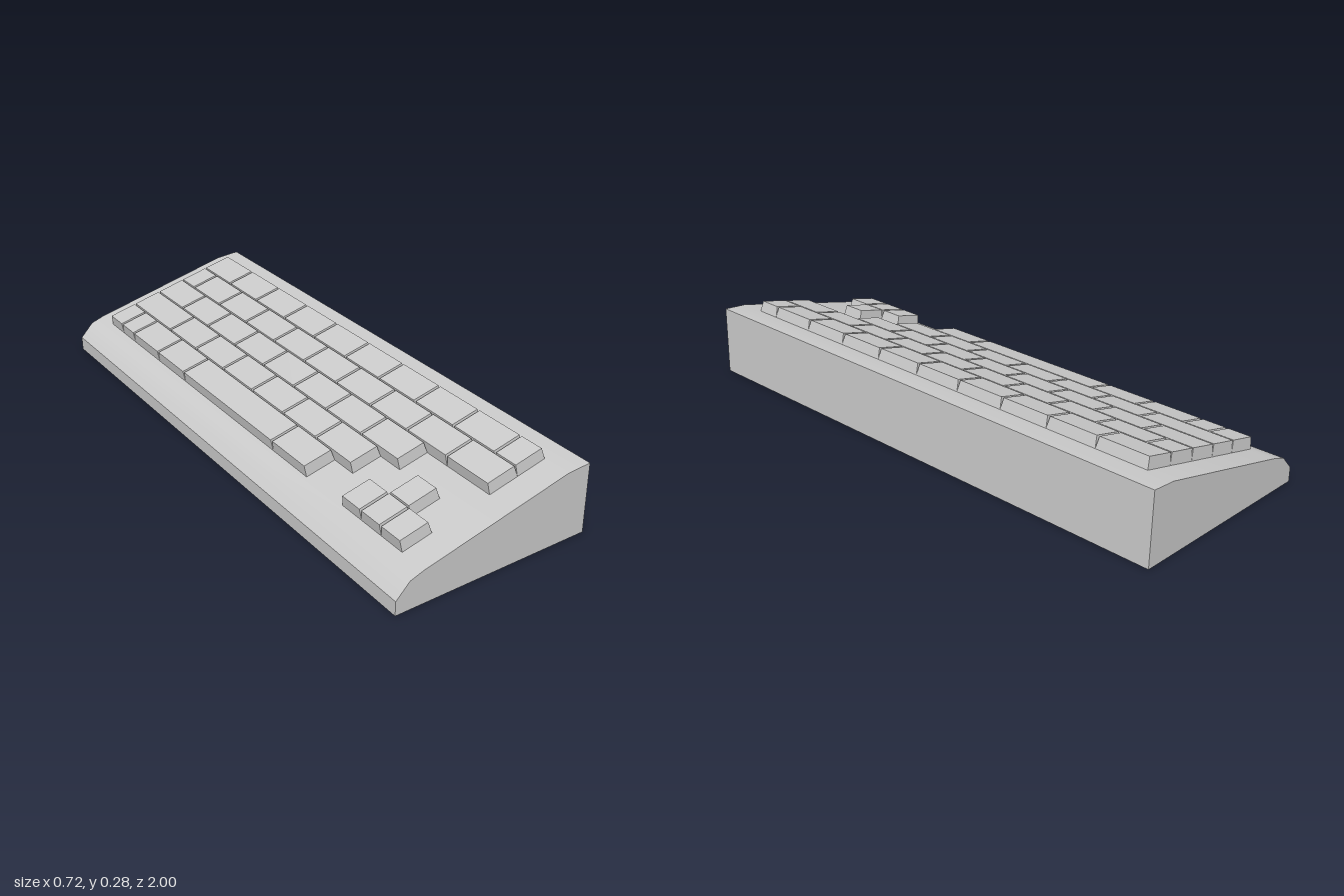
import * as THREE from 'three';
import { toCreasedNormals } from 'three/addons/utils/BufferGeometryUtils.js';

const UNIT = 0.0953;    // half-width key module along z
const Z0 = -0.91;       // start of the key field
const PITCH = 0.1094;   // row spacing along the slope
const HEIGHT = 0.0395;

// Key boundaries per row, in half-width modules, from front row to back row
const range = (a, b) => Array.from({ length: (b - a) / 2 + 1 }, (_, i) => a + 2 * i);
const rows = [
  [0, 1, 2, 4, 6, 12, 14],
  [0, ...range(3, 15)],
  range(0, 16),
  [0, ...range(1, 19)],
  [...range(0, 18), 19],
];
// Direction keys: [row, start module]
const directionKeys = [[0, 16], [0, 17], [0, 18], [1, 17]];

// Box whose top face is drawn in slightly
function keyGeometry(length) {
  const geo = new THREE.BoxGeometry(PITCH, HEIGHT, length);
  geo.translate(0, HEIGHT / 2, 0);
  const p = geo.attributes.position;
  for (let i = 0; i < p.count; i++) {
    if (p.getY(i) < HEIGHT / 2) continue;
    p.setX(i, p.getX(i) - Math.sign(p.getX(i)) * 0.003);
    p.setZ(i, p.getZ(i) - Math.sign(p.getZ(i)) * 0.005);
  }
  geo.computeVertexNormals();
  return geo;
}

export function createModel() {
  const model = new THREE.Group();
  model.name = 'keyboard';
  const material = new THREE.MeshStandardMaterial({ color: 0xcccccc });

  // Wedge-shaped case with a rounded front lip
  const profile = new THREE.Shape([
    [-0.361, 0], [0.361, 0], [0.355, 0.249], [0.268, 0.243],
    [-0.264, 0.117], [-0.313, 0.1], [-0.361, 0.05],
  ].map(([x, y]) => new THREE.Vector2(x, y)));
  const caseGeo = new THREE.ExtrudeGeometry(profile, { depth: 2, bevelEnabled: false });
  caseGeo.translate(0, 0, -1);
  const body = new THREE.Mesh(toCreasedNormals(caseGeo, 0.6), material);
  body.name = 'case';
  model.add(body);

  // Keys lie in a group tilted to the slope of the case
  const keys = new THREE.Group();
  keys.name = 'keys';
  keys.position.set(-0.264, 0.117, 0);
  keys.rotation.z = Math.atan2(0.126, 0.532);
  model.add(keys);

  const addKey = (parent, name, row, start, end) => {
    const key = new THREE.Mesh(keyGeometry((end - start) * UNIT), material);
    key.name = name;
    key.position.set((row + 0.5) * PITCH, 0, Z0 + (start + end) / 2 * UNIT);
    parent.add(key);
  };

  rows.forEach((edges, row) => {
    const group = new THREE.Group();
    group.name = `keyRow${row + 1}`;
    keys.add(group);
    for (let i = 0; i + 1 < edges.length; i++) {
      const name = edges[i + 1] - edges[i] > 3 ? 'spaceBar' : 'key';
      addKey(group, name, row, edges[i], edges[i + 1]);
    }
  });

  const arrows = new THREE.Group();
  arrows.name = 'directionKeys';
  keys.add(arrows);
  for (const [row, start] of directionKeys) addKey(arrows, 'directionKey', row, start, start + 1);

  return model;
}
